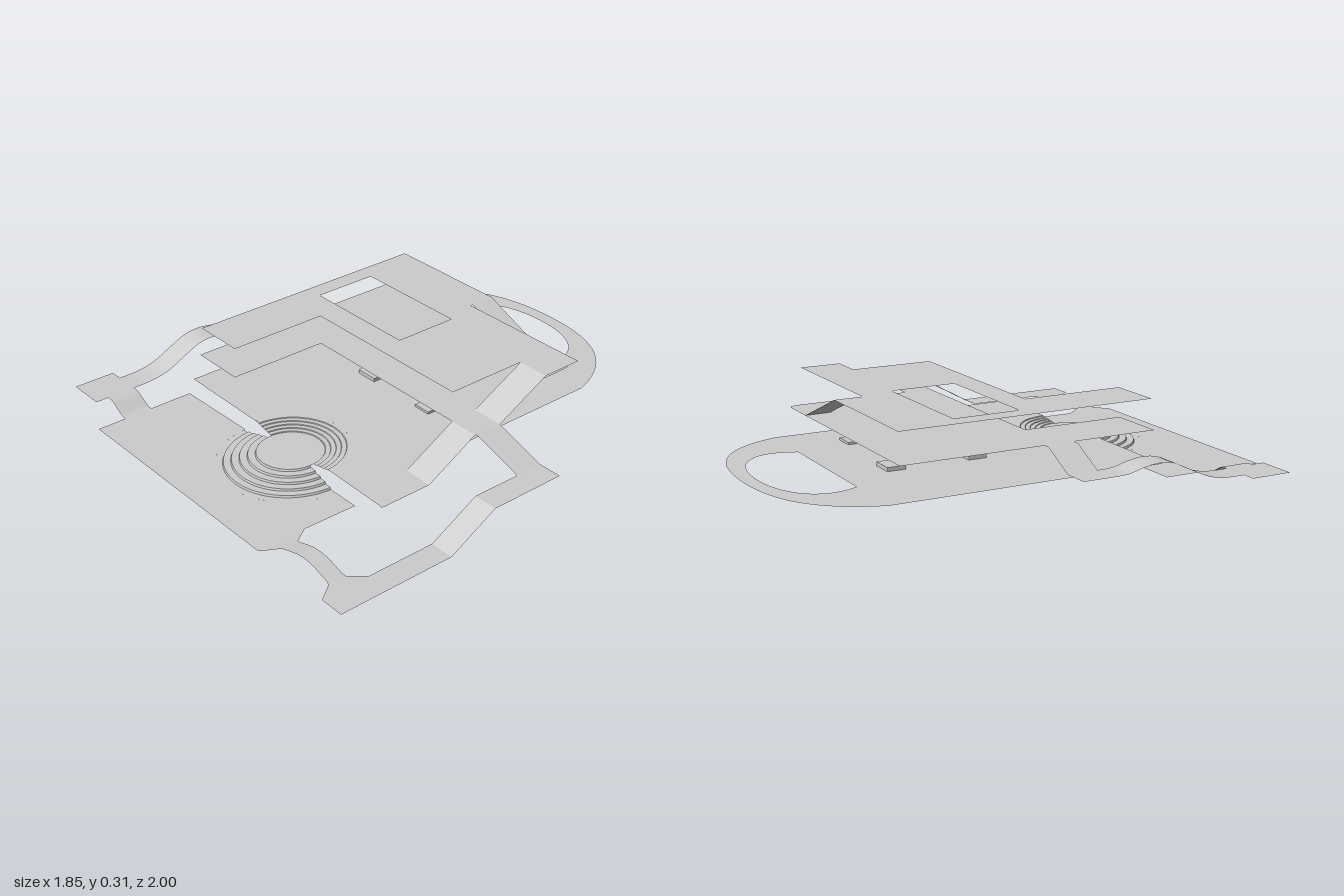
import * as THREE from 'three';

const mat = new THREE.MeshStandardMaterial({ color: 0xcccccc, side: THREE.DoubleSide });

// Heights of the stacked sheets
const Y_FRONT = 0.003, Y_BASE = 0.062, Y_MID = 0.19, Y_TOP = 0.315;
// Centre of the stepped rings
const CX = 0.045, CZ = 0.545;

export function createModel() {
  const group = new THREE.Group();

  const add = (name, geometry, x = 0, y = 0, z = 0) => {
    const mesh = new THREE.Mesh(geometry, mat);
    mesh.name = name;
    mesh.position.set(x, y, z);
    group.add(mesh);
    return mesh;
  };

  // Flat sheet from a shape drawn in x, z
  const sheet = (name, shape, y) =>
    add(name, new THREE.ShapeGeometry(shape, 24).rotateX(Math.PI / 2), 0, y);

  const polygon = (pts) => new THREE.Shape(pts.map(([x, z]) => new THREE.Vector2(x, z)));

  // Strip surface through rows, each row a pair of 3D edge points
  const strip = (name, rows, flat = false) => {
    const pos = [], index = [];
    rows.forEach(([a, b], i) => {
      pos.push(...a, ...b);
      if (i > 0) {
        const k = 2 * i;
        index.push(k - 2, k - 1, k, k - 1, k + 1, k);
      }
    });
    let g = new THREE.BufferGeometry();
    g.setAttribute('position', new THREE.Float32BufferAttribute(pos, 3));
    g.setIndex(index);
    if (flat) g = g.toNonIndexed();
    g.computeVertexNormals();
    return add(name, g);
  };

  // Strips running along x or along z with a constant width
  const alongX = (name, path, z0, z1, flat) =>
    strip(name, path.map(([x, y]) => [[x, y, z0], [x, y, z1]]), flat);
  const alongZ = (name, path, x0, x1, flat) =>
    strip(name, path.map(([z, y]) => [[x0, y, z], [x1, y, z]]), flat);

  const smooth = (pts, n) =>
    new THREE.SplineCurve(pts.map(([a, b]) => new THREE.Vector2(a, b)))
      .getPoints(n).map((p) => [p.x, p.y]);

  // Base sheet with arched handle and a round bite for the rings
  const R_BACK = 0.24, R_FRONT = 0.295;
  const base = new THREE.Shape();
  base.moveTo(-0.635, 0.535);
  base.lineTo(-0.635, -0.65);
  base.bezierCurveTo(-0.56, -0.89, -0.4, -1, -0.085, -1);
  base.bezierCurveTo(0.23, -1, 0.39, -0.89, 0.465, -0.65);
  base.lineTo(0.465, 0.31);
  base.lineTo(0.595, 0.31);
  base.lineTo(0.595, 0.54);
  base.lineTo(CX + R_BACK, 0.535);
  base.absarc(CX, CZ, R_BACK, -0.04, -Math.PI + 0.04, true);
  const grip = new THREE.Path();
  grip.moveTo(-0.36, -0.65);
  grip.bezierCurveTo(-0.45, -0.82, -0.32, -0.94, -0.08, -0.94);
  grip.bezierCurveTo(0.16, -0.94, 0.29, -0.82, 0.2, -0.65);
  grip.closePath();
  base.holes.push(grip);
  sheet('baseSheet', base, Y_BASE);

  // Front sheet
  const front = new THREE.Shape();
  front.moveTo(-0.635, 0.56);
  front.lineTo(CX - R_FRONT, 0.55);
  front.absarc(CX, CZ, R_FRONT, Math.PI - 0.035, 0.035, true);
  front.lineTo(0.455, 0.555);
  front.lineTo(0.45, 0.79);
  front.lineTo(0.45, 1);
  front.lineTo(-0.635, 1);
  sheet('frontSheet', front, Y_FRONT);

  // Stepped half rings joining the two sheets to the central disc
  const R_DISC = 0.135, Y_DISC = 0.045, STEPS = 5;
  const halfRings = (name, radius, y, phi) => {
    const pts = [];
    for (let i = 0; i <= STEPS; i++) {
      const h = y + ((Y_DISC - y) * i) / STEPS;
      const r = (k) => radius + ((R_DISC - radius) * k) / STEPS;
      pts.push(new THREE.Vector2(r(i), h));
      if (i < STEPS) pts.push(new THREE.Vector2(r(i + 0.9), h));
    }
    const g = new THREE.LatheGeometry(pts, 40, phi + 0.04, Math.PI - 0.08).toNonIndexed();
    g.computeVertexNormals();
    add(name, g, CX, 0, CZ);
  };
  halfRings('frontRings', R_FRONT, Y_FRONT, -Math.PI / 2);
  halfRings('backRings', R_BACK, Y_BASE, Math.PI / 2);
  add('centreDisc', new THREE.CircleGeometry(R_DISC, 48).rotateX(-Math.PI / 2), CX, Y_DISC, CZ);

  // Small raised contacts on the base sheet
  [[-0.18, -0.065, 0.1, 0.016], [-0.18, -0.42, 0.1, 0.016],
    [0.17, -0.065, 0.08, 0.01], [0.255, -0.385, 0.09, 0.01]].forEach(([x, z, w, h]) =>
    add('contact', new THREE.BoxGeometry(w, h, 0.08), x, Y_BASE + h / 2, z));

  // Middle sheet, L-shaped with a rounded back corner
  const mid = new THREE.Shape();
  mid.moveTo(-0.595, 0.52);
  mid.lineTo(-0.595, -0.585);
  mid.lineTo(0.41, -0.585);
  mid.quadraticCurveTo(0.46, -0.585, 0.46, -0.535);
  mid.lineTo(0.46, -0.045);
  mid.lineTo(0.6, -0.045);
  mid.lineTo(0.6, 0.08);
  mid.lineTo(-0.35, 0.08);
  mid.lineTo(-0.35, 0.52);
  sheet('middleSheet', mid, Y_MID);

  // Top sheet, L-shaped with a window
  const top = polygon([[-0.585, 0.51], [-0.585, -0.585], [-0.02, -0.585], [-0.02, -0.465],
    [0.6, -0.465], [0.6, -0.285], [0.46, -0.285], [0.46, 0.075], [-0.355, 0.075], [-0.355, 0.51]]);
  top.holes.push(polygon([[-0.505, -0.32], [0.015, -0.32], [0.015, -0.04], [-0.505, -0.04]]));
  sheet('topSheet', top, Y_TOP);

  // Sloping tabs between the stacked sheets
  alongX('backTab', [[-0.02, Y_TOP], [0.275, Y_MID]], -0.585, -0.475);
  alongZ('upperSideTab', [[-0.285, Y_TOP], [-0.045, Y_MID]], 0.46, 0.6);
  alongZ('lowerSideTab', [[0.08, Y_MID], [0.31, Y_BASE]], 0.465, 0.595);

  // Strap on the +x side: slope out, run forward, drop to the ground
  alongX('leftStrapArm', [[0.6, Y_MID], [0.82, 0.118], [0.925, 0.118]], -0.045, 0.075, true);
  alongZ('leftStrap', [[0.075, 0.118], [0.285, 0.118], [0.495, Y_FRONT], [1, Y_FRONT]], 0.82, 0.925, true);

  // Humped bridge from the front sheet to that strap, flared at both ends
  const bridge = [];
  for (let i = 0; i <= 24; i++) {
    const t = i / 24, x = 0.45 + 0.37 * t;
    const flare = Math.max(0, 1 - Math.min(x - 0.45, 0.82 - x) / 0.05);
    const y = Y_FRONT + 0.018 * (1 - Math.cos(2 * Math.PI * t));
    bridge.push([[x, y, 0.86 - 0.07 * flare], [x, y, 0.93 + 0.07 * flare]]);
  }
  strip('leftBridge', bridge);

  // Strap on the -x side: slope out, then a wavy run forward to a pad
  alongX('rightStrapArm', [[-0.595, Y_MID], [-0.625, Y_MID], [-0.76, 0.118], [-0.87, 0.118]], 0.02, 0.15, true);
  alongZ('rightStrap', smooth([[0.15, 0.118], [0.22, 0.121], [0.28, 0.136], [0.35, 0.145], [0.42, 0.136],
    [0.5, 0.1], [0.58, 0.063], [0.66, 0.047], [0.75, 0.045]], 32), -0.87, -0.76);
  sheet('rightPad', polygon([[-0.925, 0.75], [-0.76, 0.75], [-0.76, 0.93], [-0.925, 0.93]]), 0.045);
  alongX('rightBridge', smooth([[-0.76, 0.045], [-0.73, 0.044], [-0.695, 0.026], [-0.66, 0.006],
    [-0.635, Y_FRONT]], 16), 0.75, 0.875);

  return group;
}
